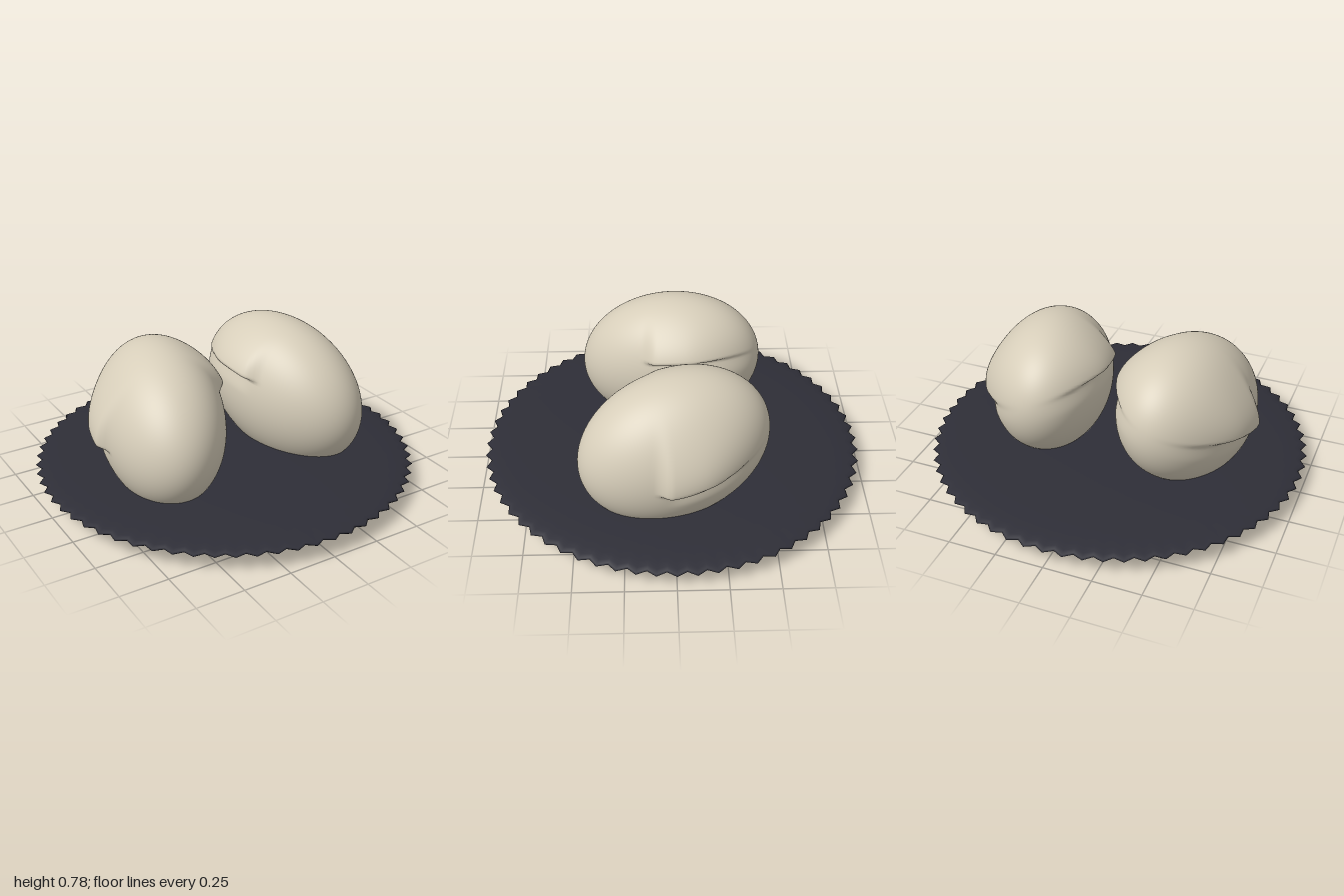
import * as THREE from 'three';
import { mergeVertices } from 'three/addons/utils/BufferGeometryUtils.js';

const stone = new THREE.MeshStandardMaterial({ color: 0xd6cdb9 });
stone.name = 'warm stone';
const slate = new THREE.MeshStandardMaterial({ color: 0x2e2e37 });
slate.name = 'dark slate';

const step = (x, a, b) => THREE.MathUtils.smoothstep(x, a, b);

// Drop seams so that the normals run smoothly round the shape
function weld(geometry) {
  geometry.deleteAttribute('uv');
  geometry.deleteAttribute('normal');
  const welded = mergeVertices(geometry, 1e-5);
  welded.computeVertexNormals();
  return welded;
}

// Tilted egg with a raised hood over its upper back half; s = 1 left, -1 right
function makeEgg(s) {
  const g = new THREE.SphereGeometry(1, 144, 112);
  const p = g.attributes.position;
  for (let i = 0; i < p.count; i++) {
    const v = p.getX(i) * s, u = p.getY(i), w = p.getZ(i);
    // Sheared ellipsoid, measured from the egg's own centre in x
    let x = 0.318 * v - 0.027 * u + 0.06 * w;
    const y = 0.39 + 0.386 * u - 0.056 * w;
    const z = 0.48 * w;
    // Height above the hood's lower edge, and distance behind its front edge
    const above = y - (0.45 - 0.35 * x - 0.07 * z);
    const behind = 0.1 - 0.11 * x - z;
    const hood = step(above, -0.018, 0.012) * (1 - step(above, 0.02, 0.34))
      * step(behind, -0.03, 0.05) * (1 - step(behind, 0.2, 0.62));
    const groove = step(above, -0.11, -0.02) * (1 - step(above, -0.02, 0.01)) * step(behind, 0, 0.1);
    x += v * (0.05 * hood - 0.01 * groove);
    p.setXYZ(i, s * (0.38 + x), y, z);
  }
  return weld(g);
}

// Flattened round plate whose rim is cut into small teeth
function makePlate() {
  const profile = [];
  for (let i = 0; i <= 24; i++) {
    const a = -Math.PI / 2 + (Math.PI * i) / 24;
    profile.push(new THREE.Vector2(i % 24 === 0 ? 0 : Math.cos(a), 0.048 * Math.sin(a)));
  }
  const teeth = 64, segments = teeth * 2;
  const g = new THREE.LatheGeometry(profile, segments);
  const p = g.attributes.position;
  for (let i = 0; i < p.count; i++) {
    const column = Math.floor(i / profile.length);
    const r = Math.hypot(p.getX(i), p.getZ(i));
    const k = column % 2 ? 1 - 0.03 * step(r, 0.88, 1) : 1;
    p.setXYZ(i, p.getX(i) * k, p.getY(i) + 0.094, p.getZ(i) * k);
  }
  return weld(g);
}

export function createModel() {
  const model = new THREE.Group();
  model.name = 'eggsOnPlate';
  const add = (name, geometry, material) => {
    const mesh = new THREE.Mesh(geometry, material);
    mesh.name = name;
    model.add(mesh);
  };
  add('plate', makePlate(), slate);
  add('leftEgg', makeEgg(1), stone);
  add('rightEgg', makeEgg(-1), stone);
  return model;
}
